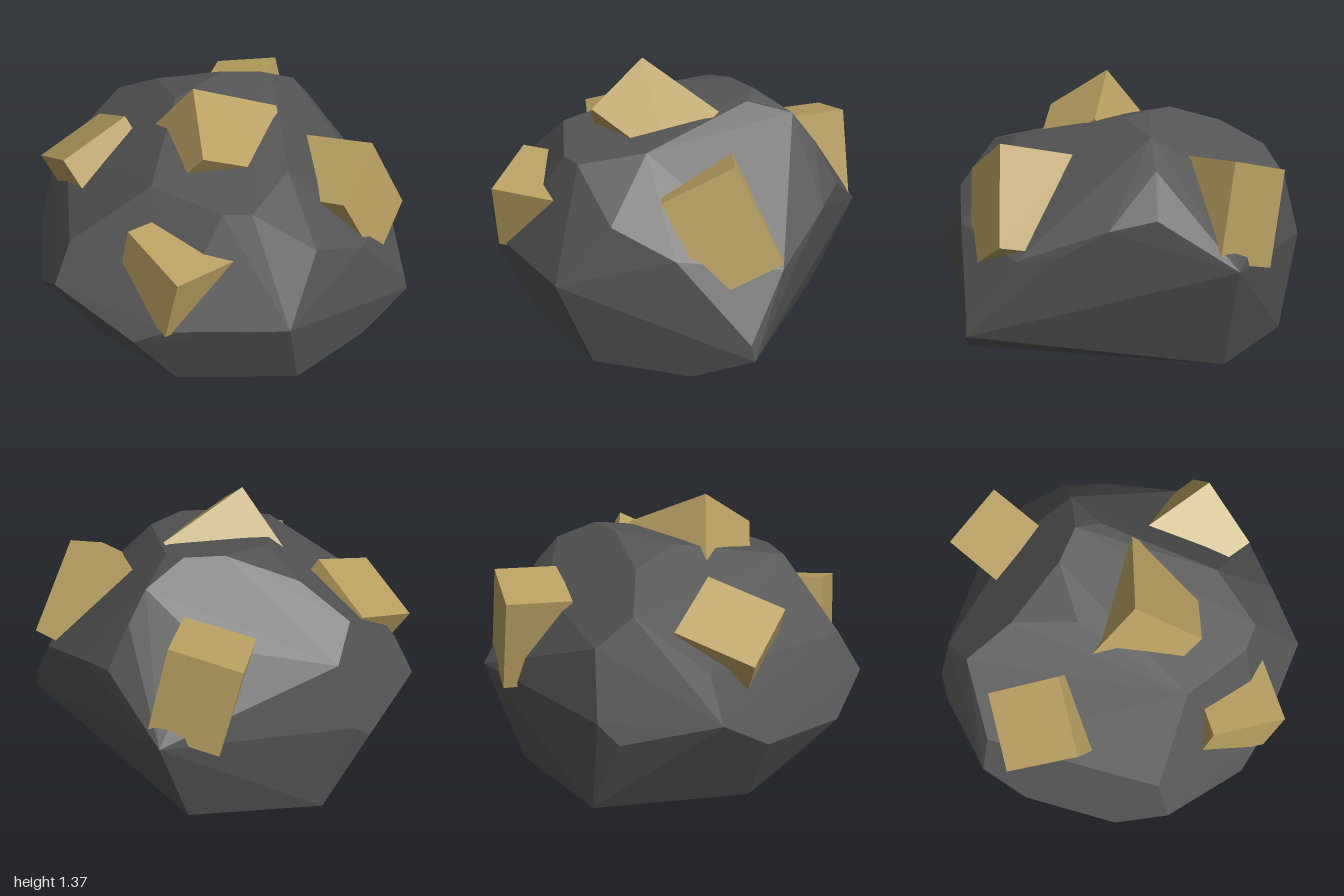
import * as THREE from 'three';
import { ConvexGeometry } from 'three/addons/geometries/ConvexGeometry.js';

const rockMaterial = new THREE.MeshStandardMaterial({ color: 0x555555, flatShading: true });
const oreMaterial = new THREE.MeshStandardMaterial({ color: 0xb8a060, flatShading: true });
const core = new THREE.Vector3(0, 0.5, 0);

// Rectangular chunk: outer corner, its two outer edges, and the depth it sinks into the rock
function oreChunk(name, corner, edgeU, edgeV, depth) {
  const a = new THREE.Vector3(...corner);
  const u = new THREE.Vector3(...edgeU);
  const v = new THREE.Vector3(...edgeV);
  const lu = u.length(), lv = v.length();
  const n = u.clone().cross(v).normalize();
  const inward = Math.sign(n.dot(core.clone().sub(a))) * depth;
  const centre = a.clone().addScaledVector(u, 0.5).addScaledVector(v, 0.5).addScaledVector(n, inward / 2);

  u.normalize();
  v.crossVectors(n, u); // square up the basis
  const mesh = new THREE.Mesh(new THREE.BoxGeometry(lu, lv, depth), oreMaterial);
  mesh.quaternion.setFromRotationMatrix(new THREE.Matrix4().makeBasis(u, v, n));
  mesh.position.copy(centre);
  mesh.name = name;
  return mesh;
}

export function createModel() {
  const group = new THREE.Group();
  group.name = 'oreBoulder';

  // Faceted boulder, as the hull of its corners
  const corners = [
    // sloping top facet
    [0, 1.22, -0.34], [0.2, 1.22, -0.34], [0.28, 1.19, -0.24], [0.32, 1.06, 0.38],
    [0.14, 1.0, 0.66], [0, 1.0, 0.66], [-0.34, 1.04, 0.48], [-0.24, 1.17, -0.14],
    // front facet
    [-0.75, 0.73, 0.5], [-0.83, 0.53, 0.59], [-0.43, 0.39, 0.86], [-0.27, 0.48, 0.89],
    [0.32, 0.49, 0.9], [0.45, 0.79, 0.66],
    // left side
    [0.7, 0.66, 0.46], [0.98, 0.27, 0.22], [1.0, 0.19, 0.21], [0.84, 0.17, 0],
    [0.9, 0.57, -0.02], [0.82, 0.58, -0.19], [0.71, 0.72, -0.41], [0.59, 0.77, -0.6],
    // back
    [0.39, 1.12, -0.45], [0.48, 0.98, -0.53], [0.14, 0.92, -0.67], [0.37, 0.52, -0.92],
    [-0.35, 1.12, -0.45], [-0.57, 0.975, -0.61], [-0.49, 0.83, -0.77], [-0.58, 0.5, -0.82],
    // right side
    [-0.67, 0.41, -0.76], [-0.86, 0.74, -0.39], [-0.97, 0.52, -0.39], [-1.0, 0.38, -0.15],
    [-0.94, 0.36, 0.34],
    // base
    [0.23, 0, -0.78], [-0.45, 0, -0.78], [-0.8, 0.02, -0.1], [-0.63, 0.04, 0.4],
    [-0.24, 0.05, 0.74], [0.38, 0.05, 0.74], [0.75, 0.04, 0.4],
  ].map((p) => new THREE.Vector3(...p));
  const rock = new THREE.Mesh(new ConvexGeometry(corners), rockMaterial);
  rock.name = 'boulder';
  group.add(rock);

  // Ore chunks half buried in the surface
  group.add(
    oreChunk('topOre', [-0.14, 1.37, 0.12], [0.05, -0.2, 0.33], [0.42, -0.2, -0.19], 0.4),
    oreChunk('frontOre', [-0.21, 0.82, 0.96], [-0.24, 0.09, -0.3], [-0.06, -0.35, -0.04], 0.39),
    oreChunk('leftOre', [0.75, 1.09, 0.17], [-0.16, -0.17, 0.3], [0.21, -0.45, -0.14], 0.4),
    oreChunk('rightOre', [-0.98, 0.77, -0.23], [0.17, 0.17, 0.32], [0.31, 0.13, -0.22], 0.4),
    oreChunk('backOre', [-0.02, 0.95, -0.97], [0.33, 0.08, 0.11], [-0.09, -0.01, 0.31], 0.48),
  );
  return group;
}
